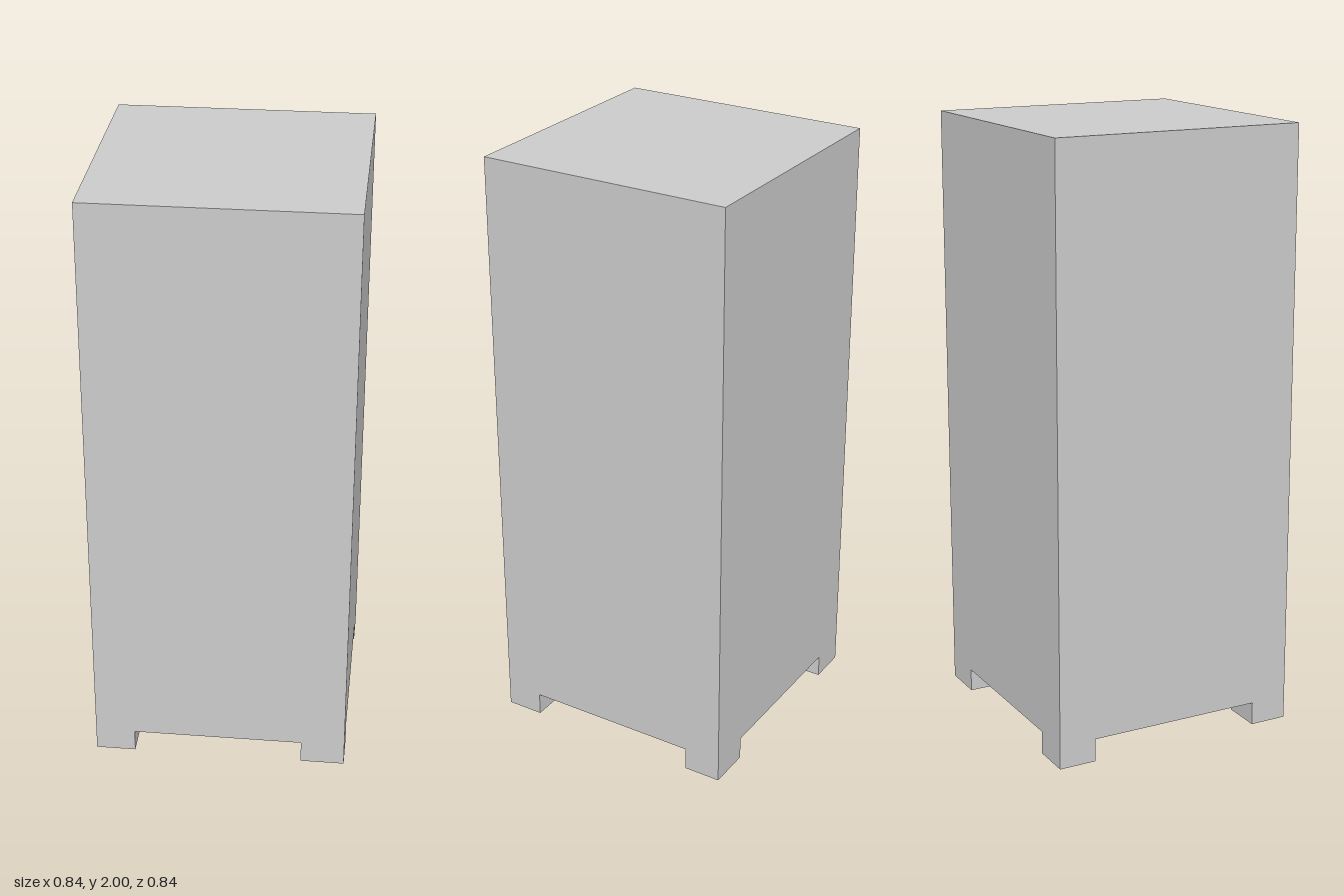
import * as THREE from 'three';

const HALF = 0.422;       // half width of the square plan
const HEIGHT = 2;
const FOOT_HEIGHT = 0.077;
const FOOT_DEPTH = 0.126;

export function createModel() {
  const group = new THREE.Group();
  const material = new THREE.MeshStandardMaterial({ color: 0xcccccc, flatShading: true });

  const addBox = (name, w, h, d, x, y, z) => {
    const mesh = new THREE.Mesh(new THREE.BoxGeometry(w, h, d), material);
    mesh.name = name;
    mesh.position.set(x, y, z);
    group.add(mesh);
  };

  // Tall plain body
  const bodyHeight = HEIGHT - FOOT_HEIGHT;
  addBox('body', HALF * 2, bodyHeight, HALF * 2, 0, FOOT_HEIGHT + bodyHeight / 2, 0);

  // Four corner feet, flush with the body sides; the left pair is slightly wider
  for (const sx of [-1, 1]) {
    const width = sx > 0 ? 0.146 : 0.132;
    for (const sz of [-1, 1]) {
      const name = (sz > 0 ? 'front' : 'back') + (sx > 0 ? 'Left' : 'Right') + 'Foot';
      addBox(name, width, FOOT_HEIGHT, FOOT_DEPTH,
        sx * (HALF - width / 2), FOOT_HEIGHT / 2, sz * (HALF - FOOT_DEPTH / 2));
    }
  }
  return group;
}
